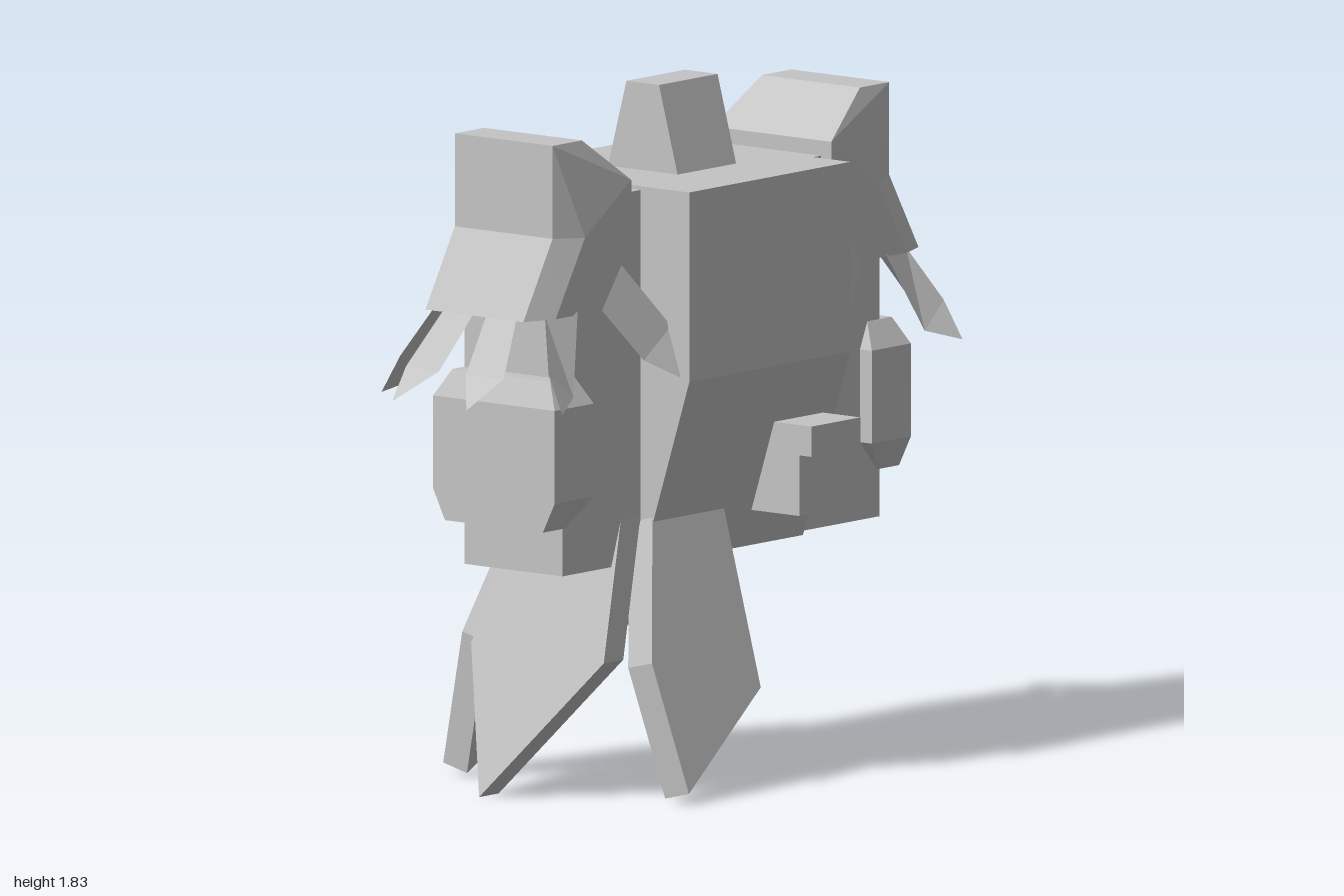
import * as THREE from 'three';
import { ConvexGeometry } from 'three/addons/geometries/ConvexGeometry.js';

const ZC = 0.015; // depth of the body's middle plane

export function createModel() {
  const model = new THREE.Group();
  model.name = 'armouredTorso';
  const grey = new THREE.MeshStandardMaterial({ color: 0xc4c4c4, side: THREE.DoubleSide });
  grey.name = 'plainGrey';

  const add = (name, geometry) => {
    const mesh = new THREE.Mesh(geometry, grey);
    mesh.name = name;
    model.add(mesh);
    return mesh;
  };

  const box = (name, x0, x1, y0, y1, z0, z1) =>
    add(name, new THREE.BoxGeometry(x1 - x0, y1 - y0, z1 - z0))
      .position.set((x0 + x1) / 2, (y0 + y1) / 2, (z0 + z1) / 2);

  // Convex solid from [x, y, half depth] points, doubled front and back
  const solid = (name, points, side = 1) =>
    add(name, new ConvexGeometry(points.flatMap(([x, y, h]) => [
      new THREE.Vector3(x * side, y, ZC + h),
      new THREE.Vector3(x * side, y, ZC - h),
    ])));

  // Torso: straight above, tapering to the waist
  solid('torso', [[1.6, 0.33], [1.1, 0.33], [0.6, 0.17]]
    .flatMap(([y, h]) => [[-0.33, y, h], [0.33, y, h]]));

  // Head stub
  solid('head', [[1.59, 0.12], [1.83, 0.055]]
    .flatMap(([y, h]) => [[-0.12, y, h], [0.12, y, h]]));

  // Stepped belt pouch
  box('pouchFlap', 0.08, 0.28, 0.86, 0.94, 0.2, 0.42);
  box('pouch', 0.08, 0.28, 0.7, 0.86, 0.15, 0.38);

  // Pointed five-cornered feather, one folded sheet
  const feather = (name, [a, b, c, d, tip], side, face) => {
    const geometry = new THREE.BufferGeometry();
    const at = ([x, y, h]) => [x * side, y, ZC + h * face];
    geometry.setAttribute('position', new THREE.Float32BufferAttribute([a, b, c, d, tip].flatMap(at), 3));
    const index = [0, 1, 2, 0, 2, 3, 3, 2, 4];
    geometry.setIndex(side * face > 0 ? index : index.reverse());
    const flat = geometry.toNonIndexed();
    flat.computeVertexNormals();
    add(name, flat);
  };
  const feathers = {
    innerFeather: [[0.45, 1.41, 0.2], [0.53, 1.3, 0.2], [0.42, 1.16, 0.25], [0.32, 1.24, 0.26], [0.315, 1.1, 0.31]],
    cornerFeather: [[0.74, 1.31, 0.18], [0.63, 1.31, 0.2], [0.72, 1.1, 0.26], [0.81, 1.17, 0.25], [0.82, 1.07, 0.305]],
    outerFeather: [[0.78, 1.31, 0.02], [0.78, 1.31, 0.12], [0.89, 1.16, 0.165], [0.9, 1.16, 0.045], [0.995, 1.085, 0.125]],
  };

  for (const side of [1, -1]) {
    const label = side > 0 ? 'left' : 'right';

    // Arm slab
    solid(label + 'Arm', [[0.3, 0.61, 0.165], [0.65, 0.61, 0.165], [0.65, 1.59, 0.165], [0.3, 1.59, 0.165]], side);

    // Shoulder guard and its flared skirt
    solid(label + 'ShoulderGuard', [[0.41, 1.63, 0.2], [0.57, 1.75, 0.165], [0.69, 1.75, 0.165],
      [0.69, 1.5, 0.165], [0.6, 1.5, 0.2], [0.41, 1.46, 0.2]], side);
    solid(label + 'ShoulderSkirt', [[0.41, 1.46, 0.2], [0.69, 1.505, 0.165], [0.6, 1.5, 0.2],
      [0.81, 1.3, 0.165], [0.72, 1.3, 0.2], [0.53, 1.3, 0.2]], side);

    // Bevelled forearm guard
    solid(label + 'ForearmGuard', [[0.64, 0.735, 0.165], [0.73, 0.735, 0.165], [0.57, 0.815, 0.205],
      [0.73, 0.815, 0.205], [0.57, 1.06, 0.205], [0.73, 1.06, 0.205], [0.6, 1.13, 0.165], [0.7, 1.13, 0.165]], side);

    // Feathers under the shoulder
    for (const face of [1, -1])
      for (const [name, points] of Object.entries(feathers))
        feather(label + (face > 0 ? 'Front' : 'Back') + name, points, side, face);
  }

  // Skirt plates: thick outlines that lean outward towards the bottom
  const plate = (name, outline, { start, lean, lift = 0, place }) => {
    const shape = new THREE.Shape(outline.map(([u, y]) => new THREE.Vector2(u, y)));
    const geometry = new THREE.ExtrudeGeometry(shape, { depth: 0.08, bevelEnabled: false });
    const p = geometry.attributes.position;
    for (let i = 0; i < p.count; i++) {
      const u = p.getX(i), y = p.getY(i), d = p.getZ(i);
      p.setXYZ(i, ...place(u, y + lift * d / 0.08, start + d + (0.73 - y) * lean));
    }
    // Turn faces outward again where the placement mirrors the plate
    const o = place(0, 0, 0), e = [place(1, 0, 0), place(0, 1, 0), place(0, 0, 1)]
      .map(v => new THREE.Vector3(...v).sub(new THREE.Vector3(...o)));
    if (e[0].cross(e[1]).dot(e[2]) < 0)
      for (let i = 0; i < p.count; i += 3) {
        const b = [p.getX(i + 1), p.getY(i + 1), p.getZ(i + 1)];
        p.setXYZ(i + 1, p.getX(i + 2), p.getY(i + 2), p.getZ(i + 2));
        p.setXYZ(i + 2, ...b);
      }
    geometry.computeVertexNormals();
    add(name, geometry);
  };
  const front = { start: 0.135, lean: 0.27, lift: 0.02, place: (u, y, d) => [u, y, d] };
  const back = { start: 0.145, lean: 0.27, lift: 0.02, place: (u, y, d) => [u, y, -d] };
  const flank = { start: 0.33, lean: 0.33, place: (u, y, d) => [-d, y, u] };

  plate('frontSkirtPlate', [[-0.33, 0.71], [-0.45, 0.35], [-0.41, 0.01], [-0.04, 0.24], [-0.04, 0.71]], front);
  plate('backRightSkirtPlate', [[-0.33, 0.71], [-0.45, 0.37], [-0.41, 0.01], [0, 0.27], [0, 0.71]], back);
  plate('backLeftSkirtPlate', [[0, 0.71], [0, 0.47], [0.4, 0.2], [0.4, 0.49], [0.33, 0.71]], back);
  plate('sideSkirtPlate', [[0.18, 0.73], [0.22, 0.37], [-0.1, 0], [-0.23, 0.38], [-0.16, 0.73]], flank);

  return model;
}
